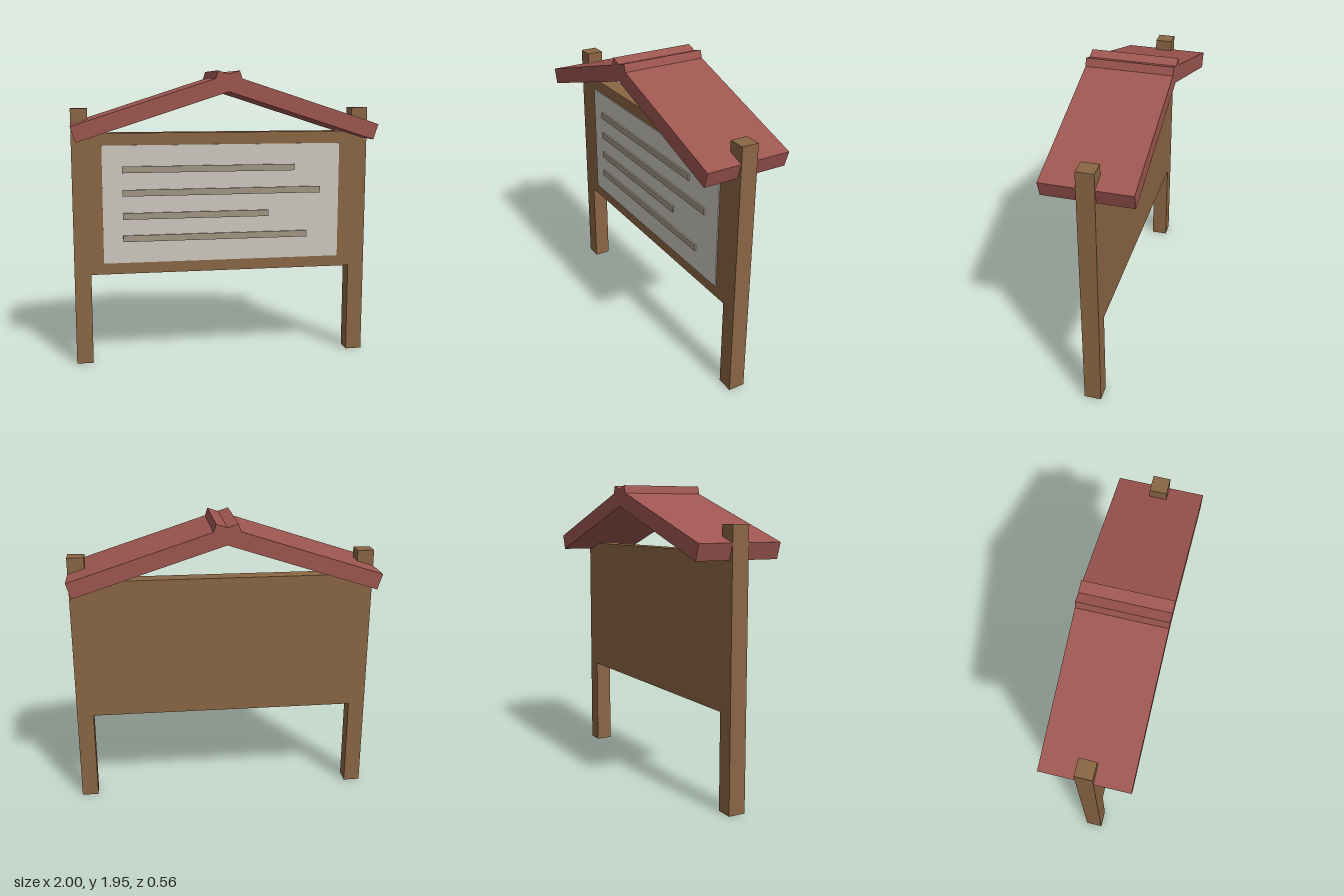
import * as THREE from 'three';

const mat = (name, color) => {
  const m = new THREE.MeshStandardMaterial({ color });
  m.name = name;
  return m;
};

export function createModel() {
  const group = new THREE.Group();
  group.name = 'noticeBoard';
  const wood = mat('brown wood', 0x8a6644);
  const red = mat('red roof', 0x9e5650);
  const paper = mat('pale paper', 0xcdc9c0);
  const ink = mat('grey brown lines', 0xa29685);

  const box = (name, material, w, h, d, x, y, z) => {
    const mesh = new THREE.Mesh(new THREE.BoxGeometry(w, h, d), material);
    mesh.name = name;
    mesh.position.set(x, y, z);
    group.add(mesh);
    return mesh;
  };

  // Posts and sloping roof slabs, mirrored; the slabs cross at the ridge
  for (const [side, s] of [['left', 1], ['right', -1]]) {
    box(side + 'Post', wood, 0.11, 1.71, 0.11, s * 0.945, 0.855, 0);
    const slab = box(side + 'RoofSlab', red, 1.124, 0.105, 0.555, s * 0.449, 1.7275, 0);
    slab.rotation.z = -s * 0.312;
  }

  // Board flush between the posts, with a sheet on its front
  box('board', wood, 1.78, 0.94, 0.11, 0, 1.08, 0);
  box('sheet', paper, 1.61, 0.785, 0.007, 0, 1.0775, 0.0575);

  // Raised lines, all starting at the same margin
  const margin = -0.675;
  [[1.31, 0.49], [1.155, 0.67], [1.0, 0.31], [0.85, 0.58]].forEach(([y, end], i) => {
    box('textLine' + (i + 1), ink, end - margin, 0.043, 0.012, (margin + end) / 2, y, 0.066);
  });

  return group;
}
